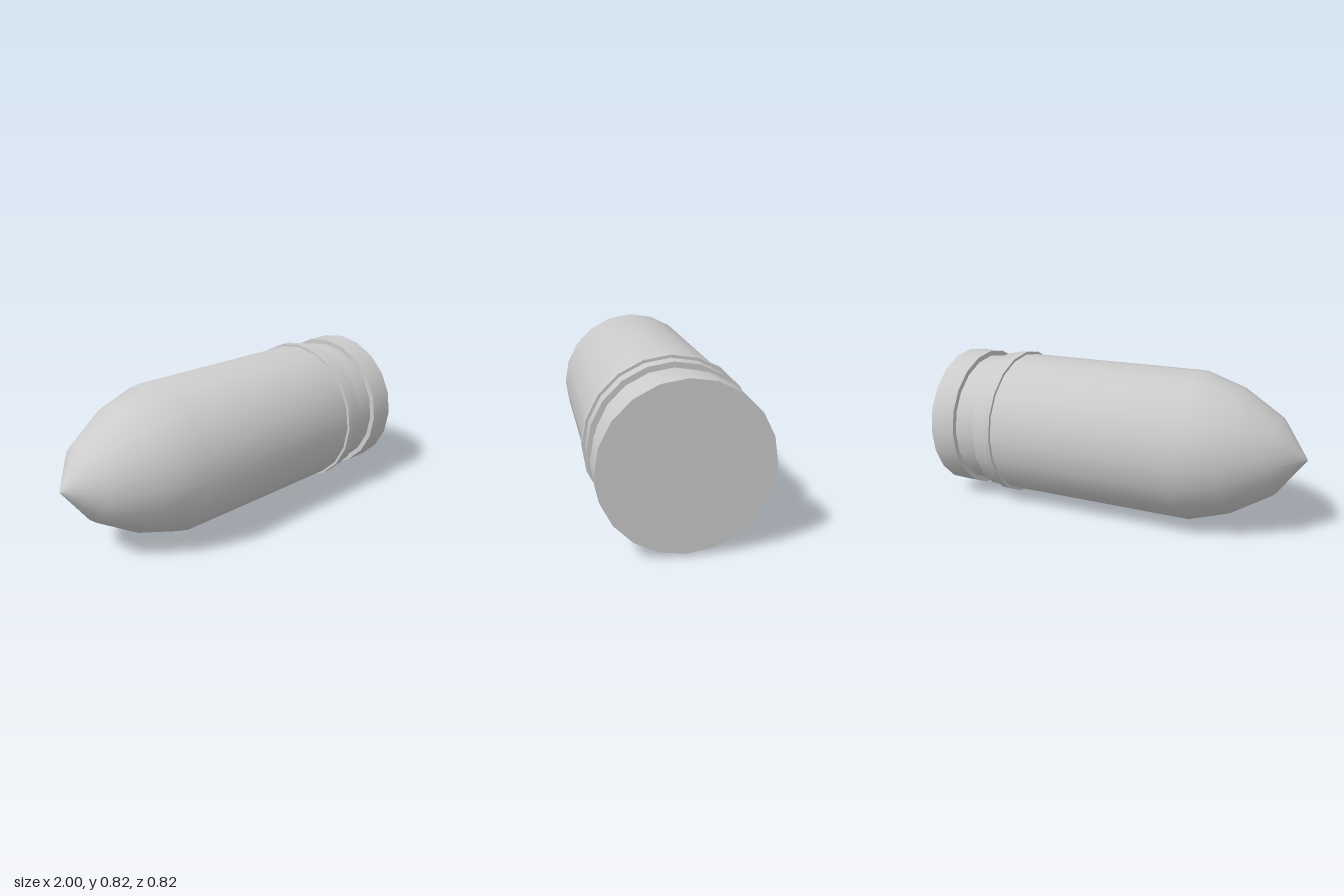
import * as THREE from 'three';
import { toCreasedNormals } from 'three/addons/utils/BufferGeometryUtils.js';

const SIDES = 20;
const AXIS_Y = 0.41;
const BODY_R = 0.394, BAND_R = 0.408, GROOVE_R = 0.367;

// Turned part: profile of [x, radius] pairs, listed from tail (+x) to nose (-x)
function turned(name, profile, material) {
  const points = profile.map(([x, r]) => new THREE.Vector2(r, -x));
  const lathe = new THREE.LatheGeometry(points, SIDES).rotateZ(Math.PI / 2);
  const mesh = new THREE.Mesh(toCreasedNormals(lathe, THREE.MathUtils.degToRad(32)), material);
  mesh.name = name;
  mesh.position.y = AXIS_Y;
  return mesh;
}

export function createModel() {
  const group = new THREE.Group();
  group.name = 'shell';
  const material = new THREE.MeshStandardMaterial({ color: 0xcccccc });

  group.add(
    // Cylindrical body running into the faceted pointed nose
    turned('bodyAndNose', [
      [0.725, GROOVE_R], [0.725, BODY_R], [-0.43, BODY_R],
      [-0.645, 0.325], [-0.855, 0.197], [-1, 0],
    ], material),
    // Thin raised ring around the body
    turned('raisedBand', [
      [0.655, BODY_R], [0.655, BAND_R], [0.61, BAND_R], [0.61, BODY_R],
    ], material),
    // Recessed neck between body and base
    turned('groove', [[0.855, GROOVE_R], [0.725, GROOVE_R]], material),
    // Flat-ended base rim
    turned('baseRim', [
      [1, 0], [1, BODY_R], [0.855, BODY_R], [0.855, GROOVE_R],
    ], material),
  );
  return group;
}
